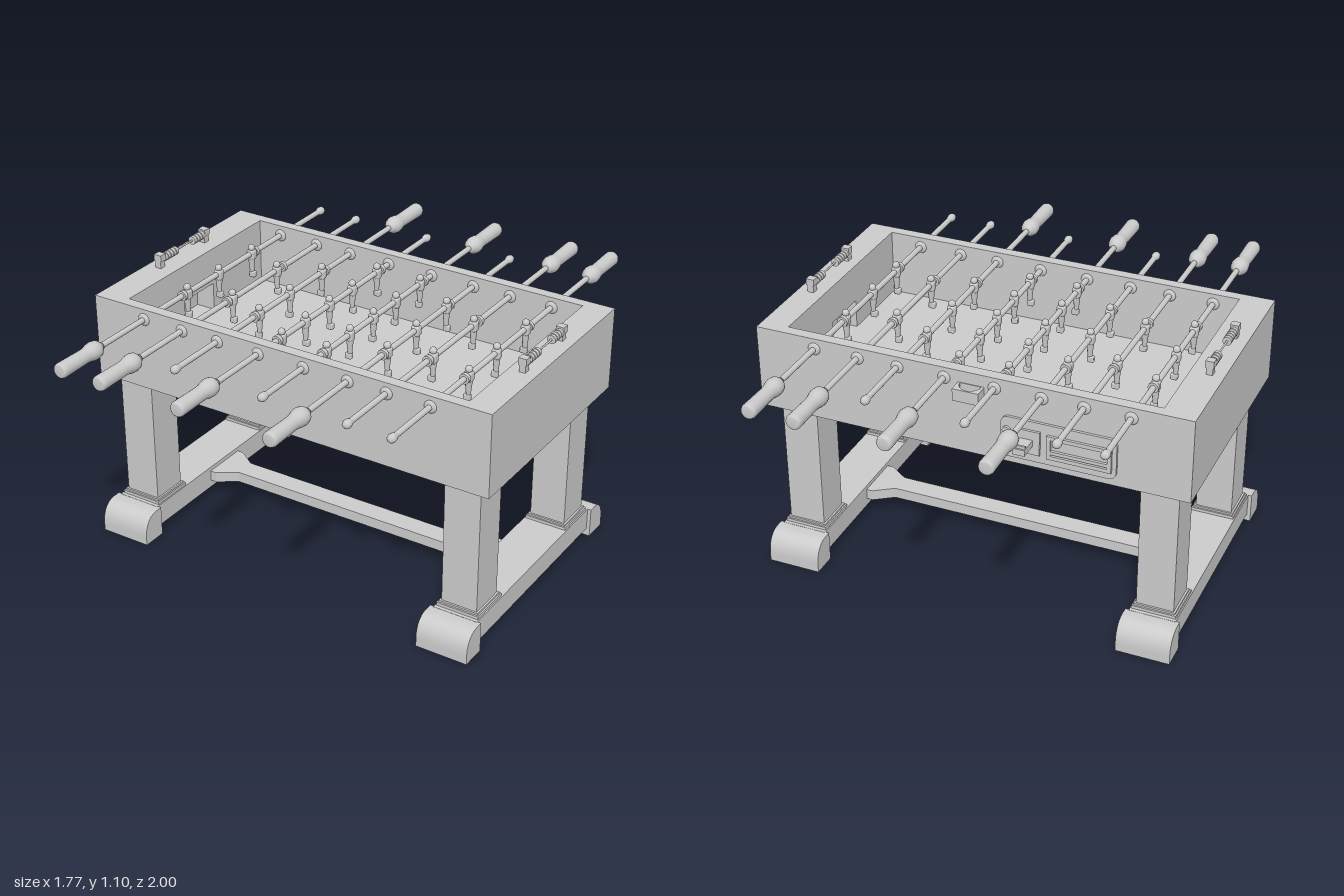
import * as THREE from 'three';
import { RoundedBoxGeometry } from 'three/addons/geometries/RoundedBoxGeometry.js';
import { toCreasedNormals } from 'three/addons/utils/BufferGeometryUtils.js';

const grey = new THREE.MeshStandardMaterial({ color: 0xcccccc, side: THREE.DoubleSide });

function add(parent, name, geometry, x = 0, y = 0, z = 0) {
  const mesh = new THREE.Mesh(geometry, grey);
  mesh.name = name;
  mesh.position.set(x, y, z);
  parent.add(mesh);
  return mesh;
}
function group(parent, name, x = 0, y = 0, z = 0) {
  const g = new THREE.Group();
  g.name = name;
  g.position.set(x, y, z);
  parent.add(g);
  return g;
}
const box = (w, h, d) => new THREE.BoxGeometry(w, h, d);
const rod = (r, len, seg = 16) => new THREE.CylinderGeometry(r, r, len, seg).rotateX(Math.PI / 2);
const points = (list) => list.map(([x, y]) => new THREE.Vector2(x, y));
const extrude = (shape, depth) => toCreasedNormals(
  new THREE.ExtrudeGeometry(shape, { depth, bevelEnabled: false, curveSegments: 10 }), 0.6);
const rect = (hw, hd) => [[-hw, -hd], [hw, -hd], [hw, hd], [-hw, hd]];

// Horizontal slab with a hole, from height y0 to y1
function frame(outer, hole, y0, y1) {
  const shape = new THREE.Shape(points(outer));
  shape.holes.push(new THREE.Path(points(hole)));
  return extrude(shape, y1 - y0).rotateX(-Math.PI / 2).translate(0, y0, 0);
}

function buildCabinet(root) {
  const g = group(root, 'cabinet');
  const outer = rect(0.887, 0.493);
  const L = 0.772, R = -0.754, Z = 0.447, P = 0.84, G = 0.1;
  // Middle layer has a goal pocket in each end wall
  const pockets = [[R, -Z], [L, -Z], [L, -G], [P, -G], [P, G], [L, G],
    [L, Z], [R, Z], [R, G], [-P, G], [-P, -G], [R, -G]];
  add(g, 'lowerSkirt', frame(outer, rect(0.864, 0.47), 0.698, 0.77));
  add(g, 'goalWalls', frame(outer, pockets, 0.77, 0.89));
  add(g, 'upperWalls', frame(outer, [[R, -Z], [L, -Z], [L, Z], [R, Z]], 0.89, 1.046));
  add(g, 'playfield', box(1.728, 0.04, 0.94), 0, 0.75, 0);
}

function buildBase(root) {
  // Foot profile: flat inside, rounded outer top
  const foot = new THREE.Shape();
  foot.moveTo(0, 0);
  foot.lineTo(0.105, 0);
  foot.lineTo(0.105, 0.035);
  foot.bezierCurveTo(0.105, 0.09, 0.078, 0.127, 0.03, 0.127);
  foot.lineTo(0, 0.127);
  foot.closePath();
  for (const sx of [-1, 1]) {
    const g = group(root, sx > 0 ? 'leftStand' : 'rightStand', sx * 0.752, 0, 0);
    add(g, 'beam', box(0.19, 0.095, 0.94), 0, 0.0805, 0);
    for (const sz of [-1, 1]) {
      const end = add(g, 'foot', extrude(foot, 0.22).translate(0, 0, -0.11), 0, 0, sz * 0.465);
      end.rotation.y = -sz * Math.PI / 2;
      add(g, 'leg', box(0.152, 0.63, 0.156), 0, 0.425, sz * 0.362);
      add(g, 'legPlinth', box(0.18, 0.022, 0.186), 0, 0.13, sz * 0.362);
      add(g, 'legCollar', box(0.168, 0.02, 0.172), 0, 0.139, sz * 0.362);
    }
  }
  // Stretcher with flared ends
  const bar = points([[-0.66, -0.1], [-0.63, -0.1], [-0.55, -0.045], [0.55, -0.045], [0.63, -0.1], [0.66, -0.1],
    [0.66, 0.1], [0.63, 0.1], [0.55, 0.045], [-0.55, 0.045], [-0.63, 0.1], [-0.66, 0.1]]);
  add(root, 'stretcher', extrude(new THREE.Shape(bar), 0.046).rotateX(-Math.PI / 2), 0, 0.064, 0);
}

// Player hanging on a rod, kicking towards +x before mirroring
function buildPlayer(parent, z, dir) {
  const g = group(parent, 'player', 0, 0, z);
  g.rotation.y = dir > 0 ? 0 : Math.PI;
  add(g, 'head', new THREE.SphereGeometry(0.015, 12, 8), 0, 0.026, 0);
  add(g, 'torso', new RoundedBoxGeometry(0.036, 0.046, 0.036, 2, 0.012), 0, -0.004, 0);
  add(g, 'legs', new THREE.CylinderGeometry(0.015, 0.009, 0.06, 10), 0, -0.052, 0);
  add(g, 'shoe', new RoundedBoxGeometry(0.028, 0.026, 0.022, 2, 0.005), 0.004, -0.092, 0);
}

function buildRods(root) {
  const three = { players: [-0.232, 0, 0.213], bumpers: [-0.256, 0.243] };
  const two = { players: [-0.152, 0.158], bumpers: [-0.191, 0.195] };
  const five = { players: [-0.355, -0.168, 0, 0.17, 0.333], bumpers: [-0.384, 0.361] };
  // x position, line-up, handle side
  const rods = [[-0.648, three, 1], [-0.466, two, 1], [-0.299, three, -1], [-0.111, five, 1],
    [0.093, five, -1], [0.287, three, 1], [0.454, two, -1], [0.638, three, -1]];
  const handle = new THREE.LatheGeometry(points([[0, 0.755], [0.017, 0.757], [0.021, 0.765], [0.033, 0.78],
    [0.037, 0.8], [0.035, 0.82], [0.03, 0.84], [0.029, 0.86], [0.031, 0.975], [0.031, 0.988],
    [0.028, 0.996], [0.022, 1], [0, 1]]), 24).rotateX(Math.PI / 2);
  const cap = new THREE.LatheGeometry(points([[0, -0.774], [0.009, -0.772], [0.015, -0.767], [0.018, -0.756],
    [0.016, -0.742], [0.011, -0.73]]), 16).rotateX(Math.PI / 2);
  const bearing = new THREE.SphereGeometry(0.026, 20, 10).scale(1, 1, 0.4);
  for (const [x, lineup, side] of rods) {
    const g = group(root, 'playerRod', x, 1.003, 0);
    add(g, 'shaft', rod(0.0115, 1.51), 0, 0, side * 0.005);
    // Turn the handle and the cap to their side of the table
    const turn = side > 0 ? 0 : Math.PI;
    add(g, 'handle', handle).rotation.y = turn;
    add(g, 'endCap', cap).rotation.y = turn;
    for (const s of [-1, 1]) {
      add(g, 'outerBearing', bearing, 0, 0, s * 0.493);
      add(g, 'innerBearing', bearing, 0, 0, s * 0.447);
    }
    for (const z of lineup.bumpers) add(g, 'bumper', rod(0.021, 0.016), 0, 0, z);
    for (const z of lineup.players) buildPlayer(g, z, side);
  }
}

function buildScorers(root) {
  const beads = [0.124, 0.106, 0.088, 0.07, 0.052, -0.072, -0.09, -0.108, -0.126];
  for (const sx of [-1, 1]) {
    const g = group(root, 'scoreCounter', sx * 0.829, 1.046, 0);
    add(g, 'wire', rod(0.004, 0.31, 8), 0, 0.034, 0);
    for (const sz of [-1, 1]) {
      add(g, 'bracket', box(0.026, 0.04, 0.028), 0, 0.02, sz * 0.149);
      add(g, 'bracketHead', box(0.034, 0.028, 0.032), 0, 0.044, sz * 0.149);
    }
    for (const z of beads) add(g, 'bead', rod(0.018, 0.014, 12), 0, 0.034, z);
  }
}

function buildBackFittings(root) {
  // Ball return panel with round corners
  const g = group(root, 'ballReturn', -0.37, 0.815, -0.493);
  const w = 0.23, h = 0.086, r = 0.03;
  const plate = new THREE.Shape();
  plate.absarc(w - r, h - r, r, 0, Math.PI / 2);
  plate.absarc(r - w, h - r, r, Math.PI / 2, Math.PI);
  plate.absarc(r - w, r - h, r, Math.PI, Math.PI * 1.5);
  plate.absarc(w - r, r - h, r, Math.PI * 1.5, Math.PI * 2);
  add(g, 'panel', extrude(plate, 0.014), 0, 0, -0.011);
  const tray = new THREE.Shape(points(rect(0.128, 0.05)));
  tray.holes.push(new THREE.Path(points(rect(0.112, 0.034))));
  add(g, 'trayFrame', extrude(tray, 0.012), -0.085, -0.005, -0.022);
  add(g, 'trayLedge', box(0.224, 0.014, 0.016), -0.085, -0.025, -0.014);
  // Coin slide
  add(g, 'slidePlate', box(0.1, 0.1, 0.012), 0.12, 0, -0.015);
  add(g, 'slide', box(0.05, 0.026, 0.085), 0.122, 0, -0.056);
  add(g, 'slideLip', box(0.05, 0.014, 0.008), 0.122, 0.018, -0.088);
  add(g, 'lock', rod(0.016, 0.014), 0.205, 0.03, -0.015);
  add(g, 'button', box(0.034, 0.022, 0.014), 0.205, -0.028, -0.015);

  // Ball cup with a round hollow, open at the top
  const cup = group(root, 'ballCup', -0.017, 0.947, -0.493);
  const wall = new THREE.Shape(points([[-0.053, 0], [0.053, 0], [0.053, 0.055], [-0.053, 0.055]]));
  const hollow = new THREE.Path();
  hollow.moveTo(-0.043, 0.003);
  hollow.lineTo(0.043, 0.003);
  hollow.absellipse(0, 0.003, 0.043, 0.045, 0, Math.PI);
  wall.holes.push(hollow);
  add(cup, 'cupWall', extrude(wall, 0.05).rotateX(-Math.PI / 2));
  add(cup, 'cupFloor', box(0.1, 0.008, 0.052), 0, 0.005, -0.027);
}

export function createModel() {
  const root = new THREE.Group();
  root.name = 'tableFootballTable';
  buildCabinet(root);
  buildBase(root);
  buildRods(root);
  buildScorers(root);
  buildBackFittings(root);
  return root;
}
